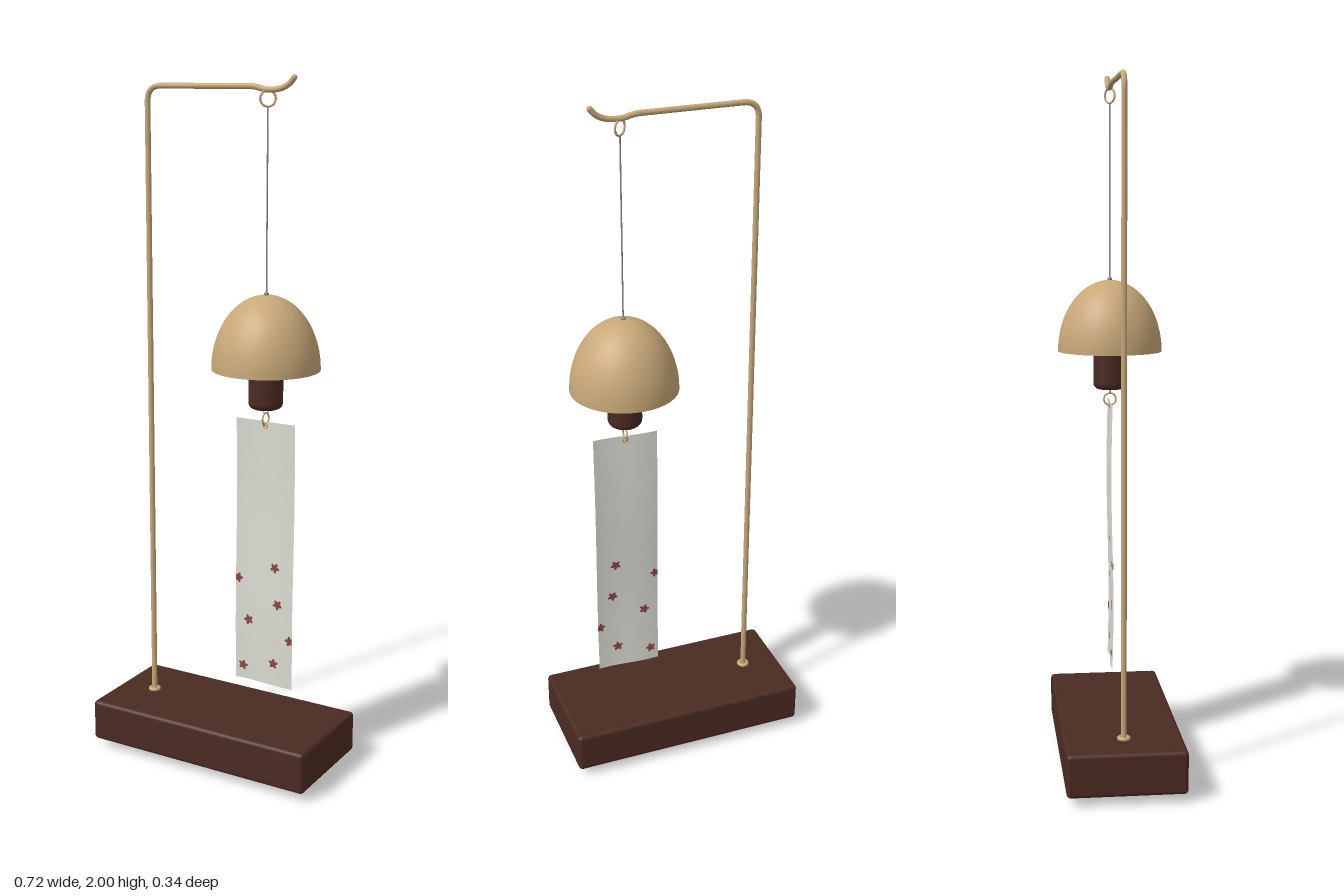
import * as THREE from 'three';
import { RoundedBoxGeometry } from 'three/addons/geometries/RoundedBoxGeometry.js';

const material = (name, color, side = THREE.FrontSide) => {
  const m = new THREE.MeshStandardMaterial({ color, side });
  m.name = name;
  return m;
};

export function createModel() {
  const wood = material('dark wood', 0x4a2b21);
  const brass = material('brass', 0xc8a878);
  const rubber = material('black rubber', 0x24272b);
  const cord = material('grey cord', 0x8c8a84);
  const paper = material('white paper', 0xdcded4, THREE.DoubleSide);
  const blossom = material('blossom red', 0x8c4a44, THREE.DoubleSide);

  const model = new THREE.Group();
  model.name = 'windChime';
  const add = (name, geometry, mat, x = 0, y = 0, z = 0) => {
    const mesh = new THREE.Mesh(geometry, mat);
    mesh.name = name;
    mesh.position.set(x, y, z);
    model.add(mesh);
    return mesh;
  };
  const v = (x, y) => new THREE.Vector3(x, y, 0);
  const lathe = (points, segments = 64) =>
    new THREE.LatheGeometry(points.map(p => new THREE.Vector2(...p)), segments);
  const hangX = 0.14;

  // Base block and its two rubber feet
  add('base', new RoundedBoxGeometry(0.718, 0.124, 0.336, 4, 0.012), wood, 0, 0.086, 0);
  for (const side of [-1, 1]) {
    add('foot', new RoundedBoxGeometry(0.1, 0.03, 0.23, 2, 0.005), rubber, side * 0.238, 0.015, 0);
  }

  // Bent stand: post, rounded corner, arm and upturned hook
  const stand = new THREE.CurvePath();
  stand.add(new THREE.LineCurve3(v(-0.245, 0.13), v(-0.245, 1.925)));
  stand.add(new THREE.QuadraticBezierCurve3(v(-0.245, 1.925), v(-0.245, 1.969), v(-0.2, 1.969)));
  stand.add(new THREE.LineCurve3(v(-0.2, 1.969), v(0.085, 1.969)));
  stand.add(new THREE.CubicBezierCurve3(v(0.085, 1.969), v(0.11, 1.969), v(0.12, 1.96), v(0.145, 1.96)));
  stand.add(new THREE.CubicBezierCurve3(v(0.145, 1.96), v(0.185, 1.96), v(0.205, 1.972), v(0.219, 1.992)));
  add('stand', new THREE.TubeGeometry(stand, 400, 0.008, 12), brass);
  add('standTip', new THREE.SphereGeometry(0.008, 12, 8), brass, 0.219, 1.992, 0);
  const collar = add('standCollar', new THREE.TorusGeometry(0.013, 0.006, 10, 28), brass, -0.245, 0.151, 0);
  collar.rotation.x = Math.PI / 2;

  // Hanging ring and cord
  const ring = add('hangingRing', new THREE.TorusGeometry(0.021, 0.003, 8, 32), brass, hangX, 1.937, 0);
  ring.rotation.y = 0.62;
  add('cord', new THREE.CylinderGeometry(0.0022, 0.0022, 0.83, 8), cord, hangX, 1.502, 0);
  add('cordKnot', new THREE.SphereGeometry(0.007, 12, 8), cord, hangX, 1.411, 0);

  // Hollow bell: outer wall from the top to the rim, then the inner wall back up
  const outer = [], inner = [];
  for (let i = 0; i <= 24; i++) {
    const a = (i / 24) * Math.PI / 2;
    outer.push([0.153 * Math.cos(a), 1.2 + 0.209 * Math.sin(a)]);
    inner.push([0.146 * Math.cos(a), 1.2 + 0.201 * Math.sin(a)]);
  }
  add('bellOutside', lathe(outer), brass, hangX);
  add('bellInside', lathe(inner.reverse()), brass, hangX);
  add('bellRim', lathe([[0.146, 1.2], [0.153, 1.2]]), brass, hangX);

  // Wooden clapper with rounded ends
  const clapper = [[0, 1.087]];
  for (let i = 0; i <= 6; i++) {
    const a = (i / 6) * Math.PI / 2;
    clapper.push([0.03 + 0.019 * Math.sin(a), 1.106 - 0.019 * Math.cos(a)]);
  }
  for (let i = 0; i <= 6; i++) {
    const a = (i / 6) * Math.PI / 2;
    clapper.push([0.03 + 0.019 * Math.cos(a), 1.271 + 0.019 * Math.sin(a)]);
  }
  clapper.push([0, 1.29]);
  add('clapper', lathe(clapper, 40), wood, hangX);

  // Linked rings below the clapper
  add('clapperEye', new THREE.TorusGeometry(0.008, 0.0022, 8, 20), brass, hangX, 1.082, 0);
  const link = add('paperRing', new THREE.TorusGeometry(0.018, 0.0025, 8, 28), brass, hangX, 1.057, 0);
  link.rotation.y = Math.PI / 2;
  add('paperEyelet', new THREE.TorusGeometry(0.007, 0.0025, 8, 20), brass, hangX, 1.038, 0);

  // Gently waved paper strip
  const halfWidth = 0.095, low = 0.255, high = 1.05;
  const wave = (x, y) => {
    const t = (y - low) / (high - low);
    return 0.0035 * Math.sin(x / halfWidth * Math.PI * 0.8) + 0.003 * Math.sin(t * 6.5);
  };
  const strip = new THREE.PlaneGeometry(2 * halfWidth, high - low, 20, 60);
  strip.translate(0, (low + high) / 2, 0);
  const sp = strip.attributes.position;
  for (let i = 0; i < sp.count; i++) sp.setZ(i, wave(sp.getX(i), sp.getY(i)));
  strip.computeVertexNormals();
  add('paperStrip', strip, paper, hangX);

  // Five-petalled blossoms following both faces of the strip
  const spots = [[-0.087, 0.57], [0.036, 0.62], [0.047, 0.51], [-0.051, 0.445],
    [0.088, 0.405], [0.034, 0.325], [-0.07, 0.298]];
  spots.forEach(([cx, cy], k) => {
    for (const side of [-1, 1]) {
      const points = [];
      for (let i = 0; i < 40; i++) {
        const a = (i / 40) * Math.PI * 2;
        const r = 0.0125 + 0.0035 * Math.cos(5 * a + k);
        points.push(new THREE.Vector2(cx + r * Math.cos(a), cy + r * Math.sin(a)));
      }
      const petals = new THREE.ShapeGeometry(new THREE.Shape(points));
      const p = petals.attributes.position;
      for (let i = 0; i < p.count; i++) {
        const x = THREE.MathUtils.clamp(p.getX(i), -halfWidth, halfWidth);
        p.setXYZ(i, x, p.getY(i), wave(x, p.getY(i)) + side * 0.0012);
      }
      petals.computeVertexNormals();
      add(side > 0 ? 'blossomFront' : 'blossomBack', petals, blossom, hangX);
    }
  });

  return model;
}
